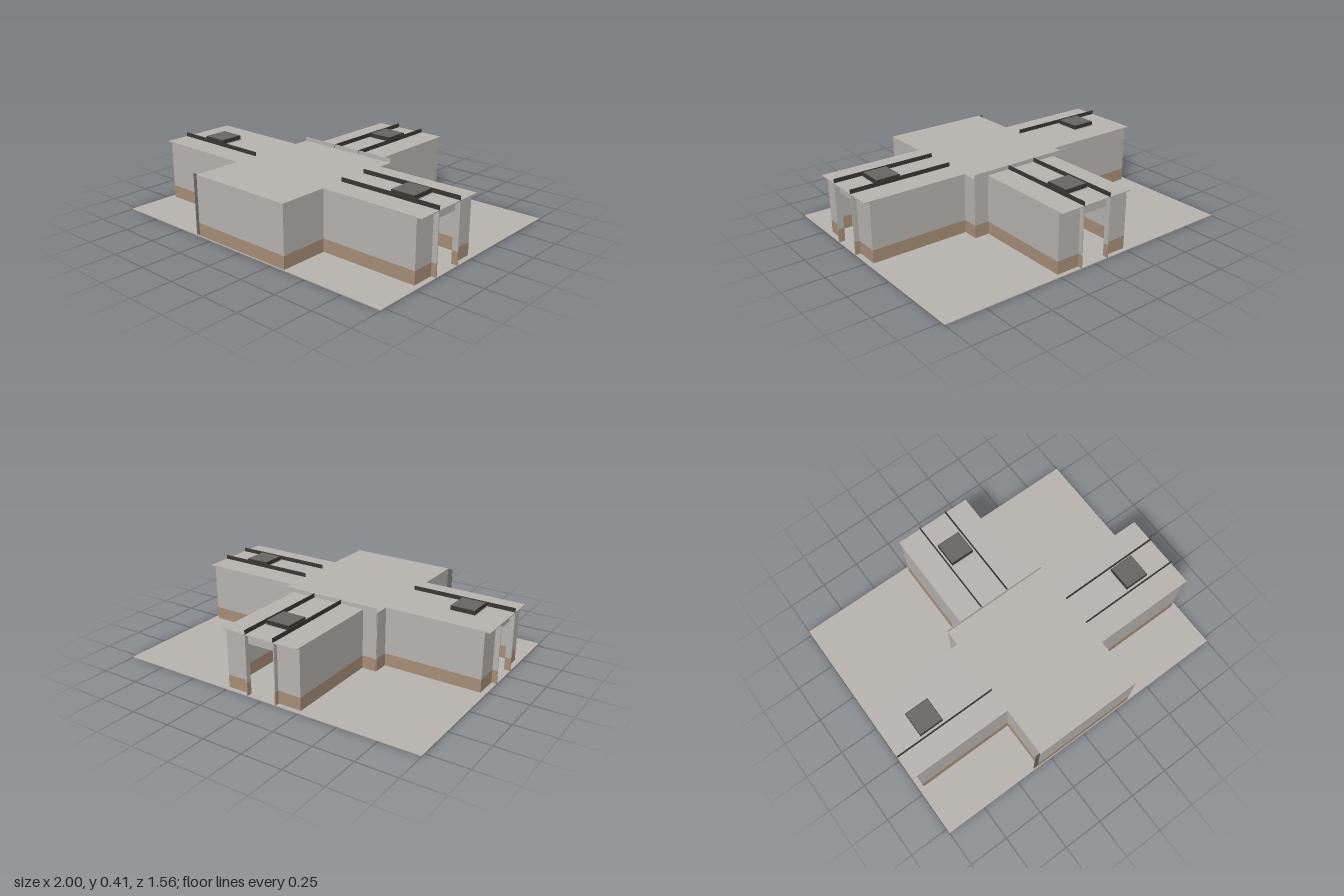
import * as THREE from 'three';

const mat = (name, color) => Object.assign(new THREE.MeshStandardMaterial({ color }), { name });

export function createModel() {
  const grey = mat('concrete grey', 0xb8b4b0);
  const tan = mat('dado tan', 0xa88f78);
  const black = mat('beam black', 0x3a3833);
  const dark = mat('vent dark grey', 0x676663);
  const model = new THREE.Group();
  model.name = 'junctionBuilding';

  const H = 0.38, DADO = 0.085, T = 0.003;

  // Box given by its limits on each axis
  function box(parent, name, m, x0, x1, y0, y1, z0, z1) {
    const mesh = new THREE.Mesh(new THREE.BoxGeometry(Math.abs(x1 - x0), y1 - y0, Math.abs(z1 - z0)), m);
    mesh.position.set((x0 + x1) / 2, (y0 + y1) / 2, (z0 + z1) / 2);
    mesh.name = name;
    parent.add(mesh);
    return mesh;
  }

  // Thin axis-aligned panel between two plan points
  function panel(parent, name, m, [x0, z0], [x1, z1], y0, y1, t = T) {
    const px = x0 === x1 ? t : 0, pz = z0 === z1 ? t : 0;
    return box(parent, name, m, Math.min(x0, x1) - px, Math.max(x0, x1) + px, y0, y1,
      Math.min(z0, z1) - pz, Math.max(z0, z1) + pz);
  }

  // Wall with tan lower band; inward = offset of the inner trim lines
  function wall(a, b, inward) {
    const g = new THREE.Group();
    g.name = 'wall';
    panel(g, 'wallLower', tan, a, b, 0, DADO);
    panel(g, 'wallUpper', grey, a, b, DADO, H);
    const shift = ([x, z]) => [x + inward[0] * 0.004, z + inward[1] * 0.004];
    for (const [y0, y1] of [[0.285, 0.295], [0.365, 0.378]])
      panel(g, 'innerTrim', tan, shift(a), shift(b), y0, y1, 0.002);
    model.add(g);
  }

  // Ground plate
  box(model, 'floor', grey, -1, 1, 0, 0.005, -0.78, 0.78);

  // Walls around the hall and wings, mirrored left and right
  wall([-0.345, 0.772], [0.345, 0.772], [0, -1]);
  for (const s of [1, -1]) {
    wall([s * 0.342, 0.465], [s * 0.342, 0.772], [-s, 0]);
    wall([s * 0.342, 0.462], [s * 0.965, 0.462], [0, -1]);
    wall([s * 0.342, -0.027], [s * 0.965, -0.027], [0, 1]);
    wall([s * 0.342, -0.127], [s * 0.342, -0.027], [-s, 0]);
    wall([s * 0.247, -0.127], [s * 0.342, -0.127], [0, 1]);
    wall([s * 0.247, -0.75], [s * 0.247, -0.127], [-s, 0]);

    // Side wing end with doorway
    wall([s * 0.965, 0.315], [s * 0.965, 0.465], [-s, 0]);
    wall([s * 0.965, -0.03], [s * 0.965, 0.125], [-s, 0]);
    panel(model, 'sideLintel', grey, [s * 0.965, 0.125], [s * 0.965, 0.315], 0.315, H);
    for (const z of [0.122, 0.318]) {
      panel(model, 'sideJambLower', tan, [s * 0.965, z], [s, z], 0, DADO);
      panel(model, 'sideJambUpper', grey, [s * 0.965, z], [s, z], DADO, H);
    }

    // Back wing end with doorway
    wall([s * 0.095, -0.75], [s * 0.25, -0.75], [0, 1]);
    panel(model, 'backJambLower', tan, [s * 0.098, -0.78], [s * 0.098, -0.75], 0, DADO);
    panel(model, 'backJambUpper', grey, [s * 0.098, -0.78], [s * 0.098, -0.75], DADO, H);

    // Roof beams
    panel(model, 'backWingBeam', black, [s * 0.095, -0.78], [s * 0.095, -0.125], H - 0.002, 0.405, 0.002);
    panel(model, 'frontSideBeam', black, [s * 0.345, 0.315], [s, 0.315], H - 0.002, 0.405, 0.002);

    // Side wing roof
    box(model, 'sideRoof', grey, s * 0.345, s, H - 0.006, H, -0.03, 0.465);
  }
  panel(model, 'backLintel', grey, [-0.095, -0.75], [0.095, -0.75], 0.315, H);
  panel(model, 'rearSideBeam', black, [0.345, 0.125], [1, 0.125], H - 0.002, 0.405, 0.002);

  // Hall and back wing roofs with upstand between them
  box(model, 'hallRoof', grey, -0.345, 0.345, H - 0.006, H, -0.13, 0.775);
  box(model, 'backRoof', grey, -0.25, 0.25, H - 0.006, H, -0.78, -0.13);
  panel(model, 'roofUpstand', grey, [-0.345, -0.127], [0.345, -0.127], H - 0.002, 0.405, 0.002);

  // Narrow corner strip beside the hall
  box(model, 'cornerStrip', dark, -0.375, -0.345, 0, H, 0.768, 0.772);

  // Roof vents
  for (const [x, z] of [[0.75, 0.217], [-0.75, 0.217], [0, -0.535]]) {
    const g = new THREE.Group();
    g.name = 'roofVent';
    box(g, 'ventFrame', grey, -0.082, 0.082, H - 0.004, H + 0.003, -0.082, 0.082);
    box(g, 'ventBody', dark, -0.074, 0.074, H - 0.012, 0.41, -0.074, 0.074);
    for (const s of [1, -1]) {
      box(g, 'ventSide', black, s * 0.074, s * 0.077, H, 0.408, -0.077, 0.077);
      box(g, 'ventSide', black, -0.074, 0.074, H, 0.408, s * 0.074, s * 0.077);
    }
    g.position.set(x, 0, z);
    model.add(g);
  }

  return model;
}
